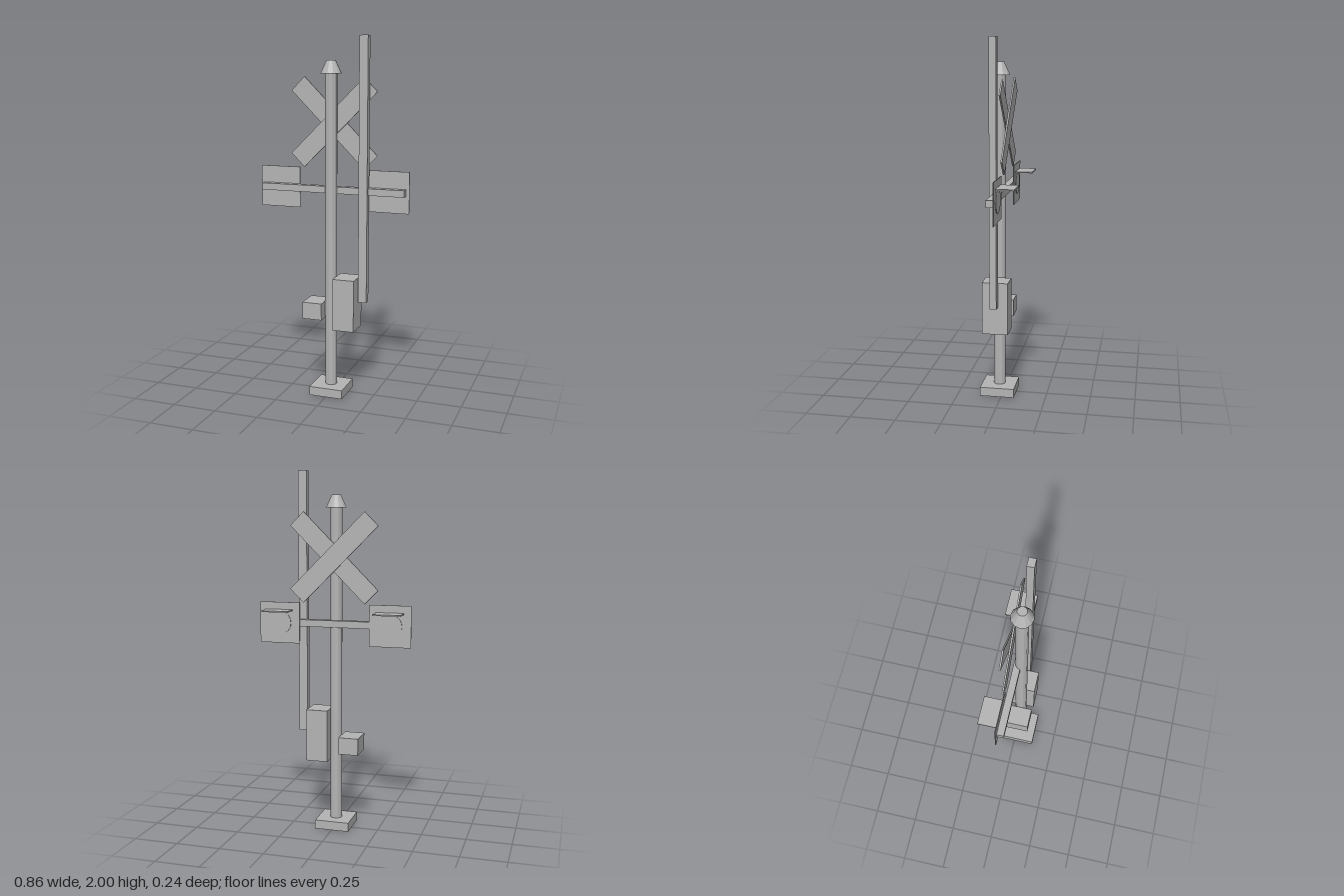
import * as THREE from 'three';

export function createModel() {
  const model = new THREE.Group();
  model.name = 'railwayCrossingSignal';

  const grey = new THREE.MeshStandardMaterial({ color: 0xb4b4b4, flatShading: true });
  grey.name = 'grey';

  const add = (name, geometry, x, y, z) => {
    const mesh = new THREE.Mesh(geometry, grey);
    mesh.name = name;
    mesh.position.set(x, y, z);
    model.add(mesh);
    return mesh;
  };
  // Box given by its limits on each axis
  const box = (name, [x0, x1], [y0, y1], [z0, z1]) =>
    add(name, new THREE.BoxGeometry(x1 - x0, y1 - y0, z1 - z0),
      (x0 + x1) / 2, (y0 + y1) / 2, (z0 + z1) / 2);

  const poleZ = 0.023;

  // Foot, pole and tapered cap
  box('base', [-0.097, 0.097], [0, 0.05], [-0.073, 0.12]);
  add('pole', new THREE.CylinderGeometry(0.034, 0.034, 1.75, 12), 0, 0.925, poleZ);
  add('cap', new THREE.CylinderGeometry(0.025, 0.058, 0.07, 12), 0, 1.835, poleZ);

  // Crossed boards, one just behind the other
  [[1, -0.0215], [-1, -0.030]].forEach(([side, z]) => {
    const board = add('crossBoard', new THREE.BoxGeometry(0.595, 0.107, 0.0085), 0, 1.532, z);
    board.rotation.z = side * Math.PI / 4;
  });

  // Arm carrying the two lamps
  box('crossArm', [-0.412, 0.412], [1.149, 1.187], [-0.018, 0.021]);

  // Lamp panels, lenses and visors, facing the back
  for (const side of [-1, 1]) {
    const x = side * 0.315;
    box('lampPanel', [x - 0.116, x + 0.116], [1.053, 1.282], [-0.023, -0.018]);
    const lens = add('lampLens', new THREE.CylinderGeometry(0.066, 0.066, 0.004, 24), x, 1.168, -0.025);
    lens.rotation.x = Math.PI / 2;
    box('lampVisor', [x - 0.077, x + 0.077], [1.235, 1.242], [-0.123, -0.026]);
  }

  // Raised gate arm
  box('gateArm', [0.164, 0.212], [0.55, 2], [0.004, 0.042]);

  // Gate motor housing and counterweight
  box('motorHousing', [0.033, 0.155], [0.39, 0.683], [-0.049, 0.095]);
  box('counterweight', [-0.145, -0.033], [0.44, 0.535], [-0.049, 0.095]);

  return model;
}
